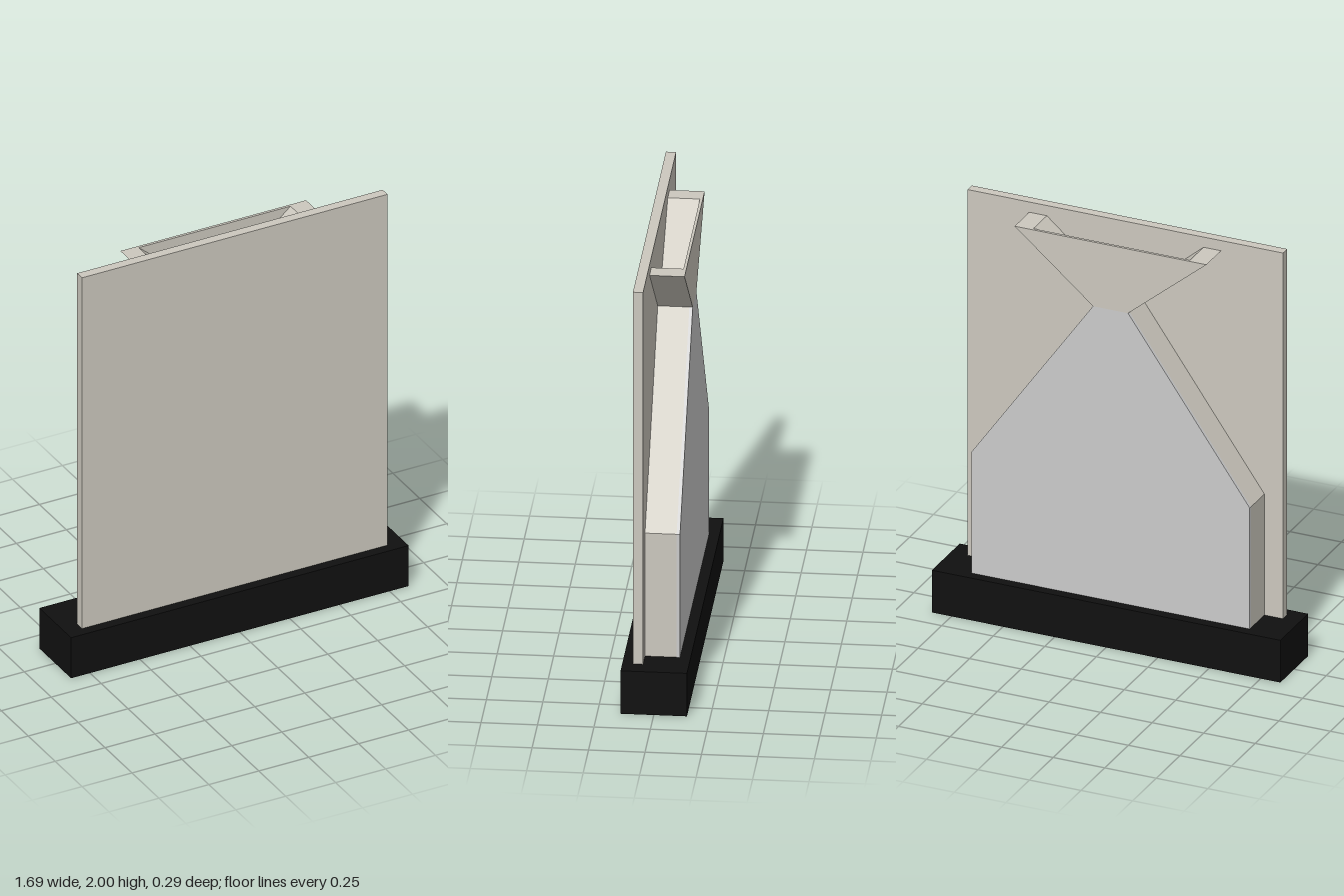
import * as THREE from 'three';

const paint = (color) => new THREE.MeshStandardMaterial({ color, flatShading: true });

export function createModel() {
  const group = new THREE.Group();
  const beige = paint(0xccc8be);
  const grey = paint(0xcccccc);
  const black = paint(0x101010);

  const add = (name, geometry, material) => {
    const mesh = new THREE.Mesh(geometry, material);
    mesh.name = name;
    group.add(mesh);
  };
  // box given by its lower and upper corners
  const box = (name, [x0, y0, z0], [x1, y1, z1], material) =>
    add(name, new THREE.BoxGeometry(x1 - x0, y1 - y0, z1 - z0)
      .translate((x0 + x1) / 2, (y0 + y1) / 2, (z0 + z1) / 2), material);
  // flat outline in x, y extruded from z0 to z1
  const slab = (name, points, z0, z1, material) => {
    const shape = new THREE.Shape(points.map(([x, y]) => new THREE.Vector2(x, y)));
    const geometry = new THREE.ExtrudeGeometry(shape, { depth: z1 - z0, bevelEnabled: false });
    add(name, geometry.translate(0, 0, z0), material);
  };
  // right half outline, bottom to top, completed by its mirror image
  const mirrored = (half) => [...half, ...half.map(([x, y]) => [-x, y]).reverse()];

  // base and front panel
  box('base', [-0.845, 0, -0.147], [0.845, 0.207, 0.147], black);
  box('frontPanel', [-0.765, 0.207, 0.055], [0.765, 2, 0.1], beige);

  // tapered housing with its rear cover
  const housing = mirrored([[0.675, 0.207], [0.675, 0.8], [0.085, 1.635]]);
  slab('housing', housing, -0.085, 0.055, beige);
  slab('rearCover', housing, -0.1, -0.085, grey);

  // hopper: rear wall and two sloping side walls, open at the top
  slab('hopperRearWall', mirrored([[0.085, 1.635], [0.465, 1.95]]), -0.1, -0.087, beige);
  for (const side of [-1, 1]) {
    const wall = [[0.012, 1.635], [0.085, 1.635], [0.465, 1.95], [0.38, 1.95], [0.058, 1.675], [0.012, 1.675]];
    slab('hopperSideWall', wall.map(([x, y]) => [x * side, y]), -0.087, 0.055, beige);
    // dark lip beside the narrow slot
    const xs = [0.012 * side, 0.058 * side].sort((a, b) => a - b);
    box('slotLip', [xs[0], 1.675, -0.087], [xs[1], 1.68, 0.055], black);
  }
  return group;
}
